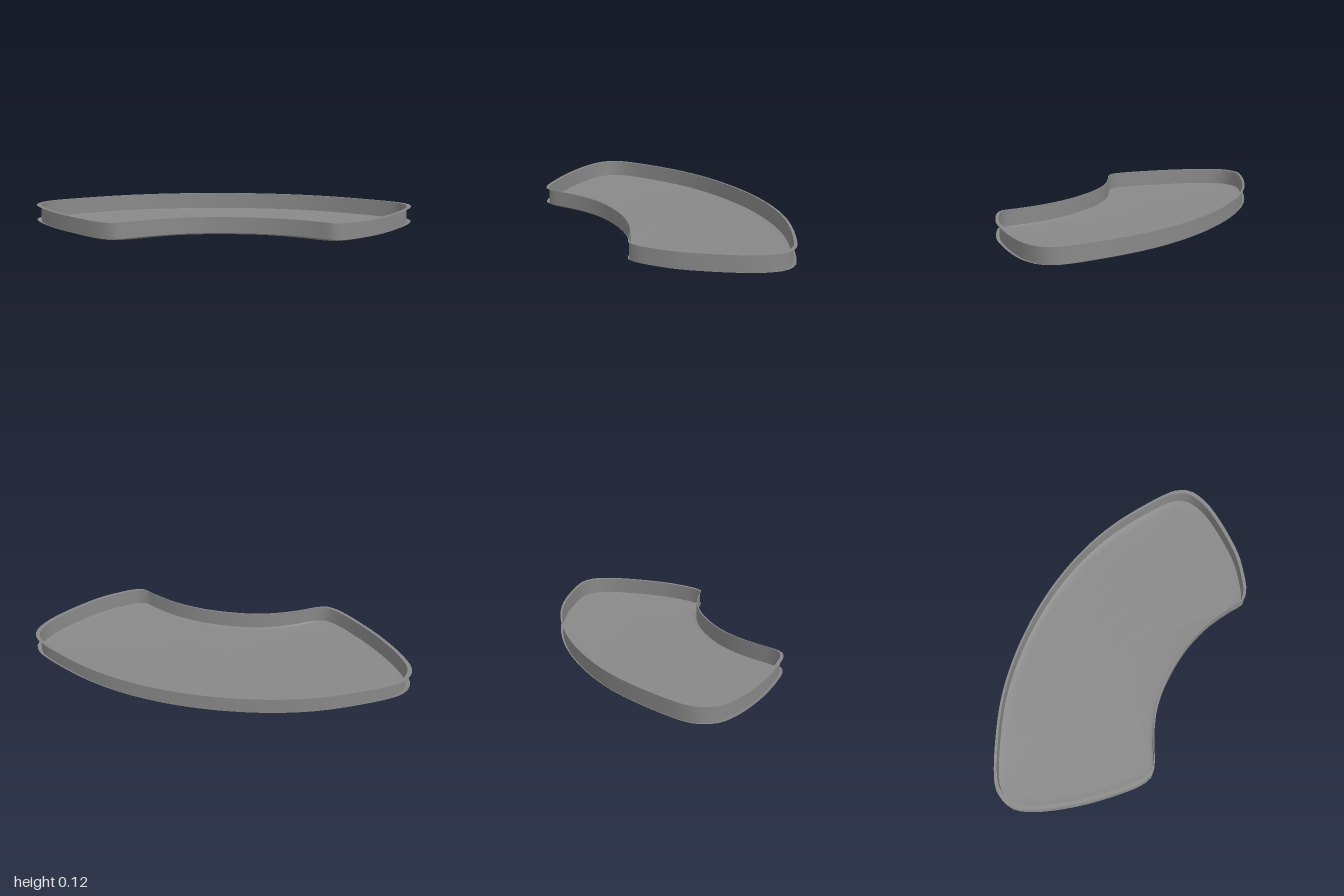
import * as THREE from 'three';

// Plan outline of the curved tray as [x, z]
const OUTLINE = [
  [1, -0.34], [0.987, -0.22], [0.957, -0.085], [0.915, -0.02], [0.83, 0.0], [0.62, 0.07],
  [0.41, 0.195], [0.19, 0.405], [0.085, 0.57], [0.02, 0.73], [-0.01, 0.83], [-0.05, 0.9],
  [-0.13, 0.932], [-0.3, 0.943], [-0.555, 0.932], [-0.8, 0.887], [-0.925, 0.835], [-0.975, 0.78],
  [-0.999, 0.715], [-0.999, 0.645], [-0.93, 0.41], [-0.8, 0.11], [-0.6, -0.185],
  [-0.315, -0.48], [0, -0.705], [0.3, -0.843], [0.705, -0.943], [0.785, -0.941],
  [0.858, -0.907], [0.917, -0.82], [0.947, -0.74], [0.983, -0.555],
];
const SEGMENTS = 128;
const WALL = 0.977;

const curve = new THREE.CatmullRomCurve3(
  OUTLINE.map(([x, z]) => new THREE.Vector3(x, 0, z)), true, 'centripetal');
const points = curve.getSpacedPoints(SEGMENTS).slice(0, SEGMENTS);

// Skin a stack of outline copies, each given as [scale, height]
function loft(rings) {
  const positions = [];
  const index = [];
  for (const [scale, y] of rings) {
    for (const p of points) positions.push(p.x * scale, y, p.z * scale);
  }
  for (let r = 0; r < rings.length - 1; r++) {
    for (let i = 0; i < SEGMENTS; i++) {
      const j = (i + 1) % SEGMENTS;
      const a = r * SEGMENTS + i, b = r * SEGMENTS + j;
      const c = a + SEGMENTS, d = b + SEGMENTS;
      index.push(a, c, b, b, c, d);
    }
  }
  const geometry = new THREE.BufferGeometry();
  geometry.setAttribute('position', new THREE.Float32BufferAttribute(positions, 3));
  geometry.setIndex(index);
  geometry.computeVertexNormals();
  return geometry;
}

export function createModel() {
  const group = new THREE.Group();
  group.name = 'curvedTray';
  const material = new THREE.MeshStandardMaterial({ color: 0x888888, side: THREE.DoubleSide });

  const add = (name, rings) => {
    const mesh = new THREE.Mesh(loft(rings), material);
    mesh.name = name;
    group.add(mesh);
  };

  // Shallow dished floor, reaching past the wall as a flange
  add('floor', [[1, 0.02], [WALL, 0.012], [0.9, 0.006], [0.6, 0.002], [0.3, 0], [0.001, 0]]);
  // Upright wall
  add('wall', [[WALL, 0.12], [WALL, 0.012]]);
  // Thin flat lip around the top of the wall
  add('lip', [[1, 0.12], [WALL, 0.12]]);

  return group;
}
